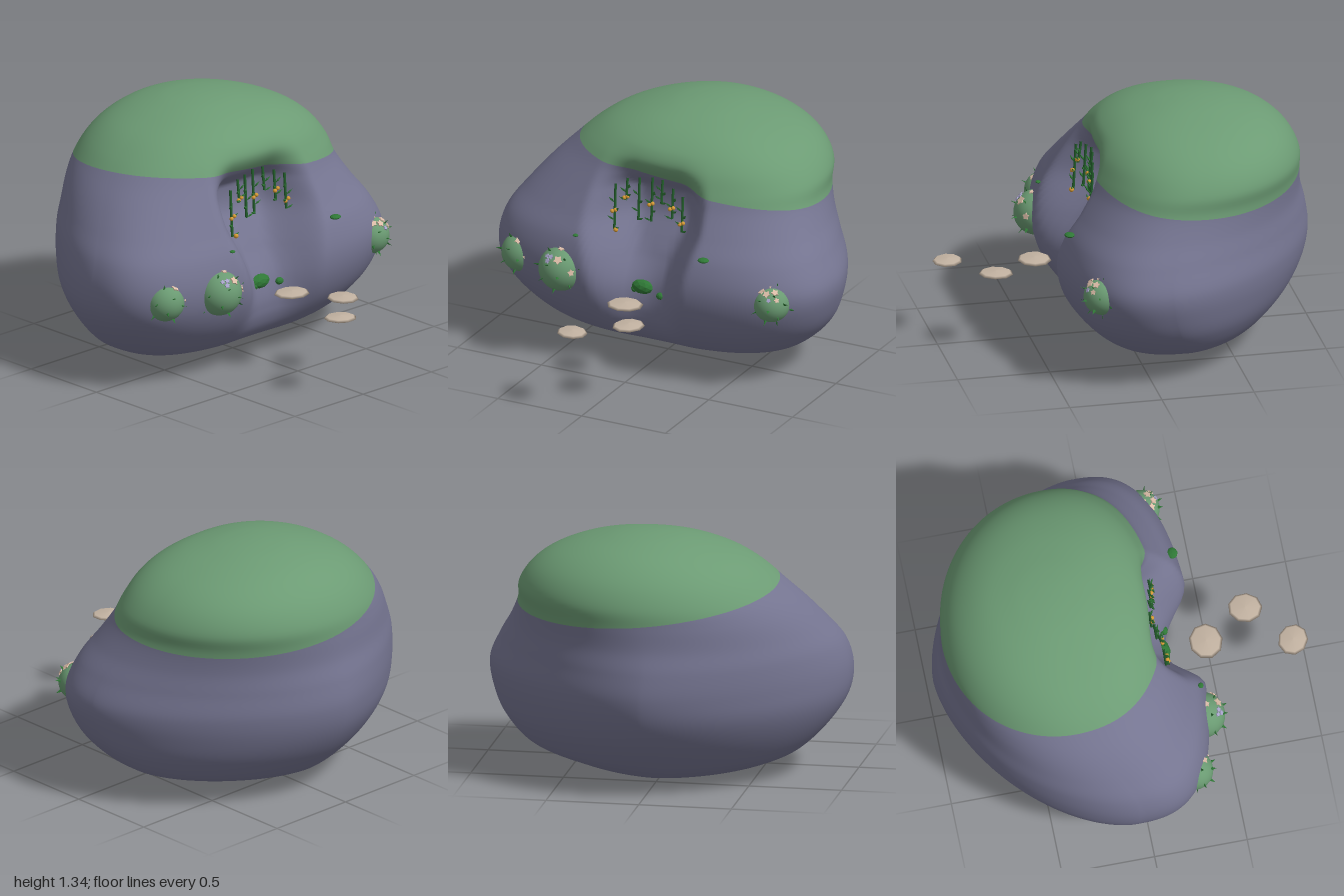
import * as THREE from 'three';

const { lerp, smoothstep } = THREE.MathUtils;
const mat = (name, color, extra = {}) =>
  Object.assign(new THREE.MeshStandardMaterial({ color, ...extra }), { name });

// Hill cross-sections from bottom to top: y, left x, right x, front z, back z, z of widest point
const ROWS = [
  [0.005, 0, 0, -0.3, -0.3, -0.3],
  [0.015, -0.14, 0.14, -0.17, -0.42, -0.3],
  [0.04, -0.37, 0.35, -0.07, -0.56, -0.28],
  [0.08, -0.56, 0.53, 0.07, -0.67, -0.24],
  [0.15, -0.72, 0.74, 0.22, -0.77, -0.2],
  [0.28, -0.86, 0.88, 0.34, -0.89, -0.14],
  [0.42, -0.95, 0.95, 0.405, -0.97, -0.09],
  [0.56, -0.97, 0.97, 0.42, -1.0, -0.07],
  [0.70, -0.935, 0.91, 0.39, -0.985, -0.08],
  [0.82, -0.855, 0.84, 0.33, -0.955, -0.14],
  [0.94, -0.76, 0.788, 0.27, -0.945, -0.21],
  [1.04, -0.665, 0.772, 0.225, -0.935, -0.27],
  [1.14, -0.56, 0.705, 0.175, -0.885, -0.31],
  [1.22, -0.44, 0.6, 0.1, -0.805, -0.33],
  [1.28, -0.29, 0.455, -0.005, -0.7, -0.34],
  [1.32, -0.14, 0.29, -0.145, -0.56, -0.35],
  [1.336, -0.02, 0.17, -0.26, -0.44, -0.35],
  [1.34, 0.07, 0.07, -0.35, -0.35, -0.35],
];
// Cave: y, depth, half width
const CAVE = [
  [0.06, 0, 0.27], [0.2, 0.04, 0.28], [0.3, 0.09, 0.29], [0.45, 0.17, 0.29], [0.6, 0.25, 0.31],
  [0.8, 0.29, 0.36], [0.95, 0.23, 0.36], [1.04, 0.11, 0.35], [1.12, 0.03, 0.33], [1.2, 0, 0.32],
];

// Smooth curve through column c of a table, t in row units
function spline(table, c, t) {
  const n = table.length - 1, i = Math.min(n - 1, Math.max(0, Math.floor(t))), f = t - i;
  const p = k => table[Math.min(n, Math.max(0, i + k))][c];
  const m0 = (p(1) - p(-1)) / 2, m1 = (p(2) - p(0)) / 2, d = p(1) - p(0);
  return p(0) + f * (m0 + f * (3 * d - 2 * m0 - m1 + f * (m0 + m1 - 2 * d)));
}

// Point of the hill at row t and angle a (0 = left side, PI/2 = front)
function hillPoint(t, a) {
  const [y, xl, xr, zf, zb, zw] = [0, 1, 2, 3, 4, 5].map(c => spline(ROWS, c, t));
  const c = Math.cos(a), s = Math.sin(a), rise = smoothstep(y, 0.5, 1.1);
  const e = 2 / (s > 0 ? lerp(2.85, 2.3, rise) : lerp(1.66, 2, rise));
  const x = (xl + xr) / 2 + (xr - xl) / 2 * Math.sign(c) * Math.abs(c) ** e;
  let z = zw + (s > 0 ? zf - zw : zw - zb) * Math.sign(s) * Math.abs(s) ** e;
  if (s > 0 && y > CAVE[0][0] && y < 1.2) {
    const k = CAVE.findIndex(r => r[0] > y) - 1;
    const u = k + (y - CAVE[k][0]) / (CAVE[k + 1][0] - CAVE[k][0]);
    const flat = lerp(0.15, 0.35, smoothstep(y, 0.45, 0.85));
    const fall = 1 - smoothstep(Math.abs(x) / spline(CAVE, 2, u), flat, 1);
    z -= Math.max(0, spline(CAVE, 1, u)) * fall;
  }
  return new THREE.Vector3(x, y, z);
}

// Hill as one skin; the grass begins at a slightly tilted line
function hillGeometry() {
  const around = 240, low = 80, high = 40, last = ROWS.length - 1, pos = [], index = [];
  const edge = [];
  for (let i = 0; i < around; i++) {
    let lo = 7, hi = 15;
    for (let k = 0; k < 25; k++) {
      const m = (lo + hi) / 2, p = hillPoint(m, i / around * Math.PI * 2);
      if (p.y < 1.035 - 0.11 * p.x + 0.08 * p.z) lo = m; else hi = m;
    }
    edge.push(lo);
  }
  for (let j = 0; j <= low + high; j++)
    for (let i = 0; i < around; i++) {
      const t = j <= low ? edge[i] * j / low : edge[i] + (last - edge[i]) * (j - low) / high;
      pos.push(...hillPoint(t, i / around * Math.PI * 2).toArray());
    }
  for (let j = 0; j < low + high; j++)
    for (let i = 0; i < around; i++) {
      const a = j * around + i, b = j * around + (i + 1) % around;
      index.push(a, a + around, b, b, a + around, b + around);
    }
  const g = new THREE.BufferGeometry();
  g.setAttribute('position', new THREE.Float32BufferAttribute(pos, 3));
  g.setIndex(index);
  g.addGroup(0, low * around * 6, 0);
  g.addGroup(low * around * 6, high * around * 6, 1);
  g.computeVertexNormals();
  return g;
}

// Thin five-pointed blossom lying flat, facing up
function blossomGeometry() {
  const star = new THREE.Shape(Array.from({ length: 10 }, (_, i) => {
    const r = i % 2 ? 0.6 : 1, a = i * Math.PI / 5;
    return new THREE.Vector2(r * Math.cos(a), r * Math.sin(a));
  }));
  return new THREE.ExtrudeGeometry(star, { depth: 0.006, bevelEnabled: false }).rotateX(-Math.PI / 2);
}

export function createModel() {
  const root = new THREE.Group();
  const rock = mat('slate rock', 0x757591), grass = mat('grass', 0x6c9b74);
  const bushMat = mat('bush green', 0x6a9a72), leafMat = mat('leaf green', 0x2f7836, { flatShading: true });
  const vineMat = mat('vine green', 0x23602c), berryMat = mat('berry orange', 0xd59a35);
  const stoneMat = mat('stone', 0xc2b2a1);
  const pinkMat = mat('pale pink', 0xdcbda8), lilacMat = mat('lilac', 0xaaa4cc);
  const UP = new THREE.Vector3(0, 1, 0);

  const add = (name, geo, material, x, y, z, parent = root) => {
    const m = new THREE.Mesh(geo, material);
    m.name = name;
    m.position.set(x, y, z);
    parent.add(m);
    return m;
  };

  add('hill', hillGeometry(), [rock, grass], 0, 0, 0);

  // Floating stepping stones
  const stoneGeo = new THREE.LatheGeometry(
    [[0, -0.014], [0.7, -0.011], [1, -0.001], [0.85, 0.009], [0, 0.015]].map(p => new THREE.Vector2(...p)), 9);
  [[-0.015, 0.47, 0.1], [0.13, 0.71, 0.092], [-0.095, 0.925, 0.088]].forEach(([x, z, r], i) => {
    const s = add('steppingStone', stoneGeo, stoneMat, x, 0.44, z);
    s.scale.set(r, 1, r * 0.9);
    s.rotation.y = i * 1.3;
  });

  // Round bushes: centre, radius, then blossoms as direction, size, material
  const ball = new THREE.SphereGeometry(1, 32, 20);
  const tip = new THREE.ConeGeometry(0.013, 0.042, 4).scale(1, 1, 0.4);
  const blossom = blossomGeometry();
  const bushes = [
    [-0.745, 0.52, 0.26, 0.105, [
      [0.7, 0.1, 0.7, 0.026, pinkMat], [0.15, 0.8, 0.55, 0.022, pinkMat],
      [0.75, 0.45, 0.45, 0.016, lilacMat], [0.6, 0.6, 0.5, 0.014, lilacMat], [0.85, -0.1, 0.5, 0.016, pinkMat]]],
    [-0.45, 0.525, 0.365, 0.122, [
      [0.2, 0.65, 0.7, 0.026, pinkMat], [-0.25, 0.55, 0.75, 0.016, lilacMat], [-0.15, 0.7, 0.65, 0.016, lilacMat],
      [-0.35, 0.7, 0.6, 0.014, lilacMat], [0.75, 0.15, 0.6, 0.02, pinkMat], [0.1, 0.95, 0.2, 0.018, pinkMat]]],
    [0.755, 0.525, 0.27, 0.1, [
      [-0.3, 0.8, 0.5, 0.022, pinkMat], [0.05, 0.75, 0.65, 0.022, pinkMat], [0.4, 0.8, 0.4, 0.022, pinkMat],
      [0, 0.95, 0.1, 0.02, pinkMat], [0.25, 0.5, 0.8, 0.014, lilacMat], [0.6, 0.5, 0.6, 0.016, pinkMat]]],
  ];
  for (const [x, y, z, r, flowers] of bushes) {
    const bush = new THREE.Group();
    bush.name = 'bush';
    bush.position.set(x, y, z);
    root.add(bush);
    add('bushBody', ball, bushMat, 0, 0, 0, bush).scale.setScalar(r);
    const stick = (name, geo, material, dir, out) => {
      const p = dir.clone().multiplyScalar(r + out);
      const m = add(name, geo, material, p.x, p.y, p.z, bush);
      m.quaternion.setFromUnitVectors(UP, dir);
      return m;
    };
    for (let i = 0; i < 22; i++) {
      const h = 1 - 2 * (i + 0.5) / 22, a = i * 2.4, q = Math.sqrt(1 - h * h);
      stick('leafTip', tip, leafMat, new THREE.Vector3(q * Math.cos(a), h, q * Math.sin(a)), 0.008);
    }
    for (const [dx, dy, dz, size, material] of flowers)
      stick('flower', blossom, material, new THREE.Vector3(dx, dy, dz).normalize(), 0.001)
        .scale.set(size, 1, size);
  }

  // Vines hanging from the lip of the cave: x, top, bottom, berry height (0 = none)
  const leafGeo = new THREE.OctahedronGeometry(1);
  const vines = [[-0.21, 1.0, 0.74, 0.85], [-0.145, 1.04, 0.92, 0.935], [-0.08, 1.05, 0.81, 0],
    [-0.01, 1.06, 0.81, 0.91], [0.055, 1.06, 0.93, 0], [0.125, 1.03, 0.86, 0.92], [0.19, 1.0, 0.8, 0.85]];
  vines.forEach(([x, top, bottom, berryY], i) => {
    const z = 0.16 + 0.2 * Math.abs(x);
    const path = new THREE.LineCurve3(new THREE.Vector3(x, top, z), new THREE.Vector3(x, bottom, z + 0.015));
    add('vine', new THREE.TubeGeometry(path, 1, 0.0075, 6), vineMat, 0, 0, 0);
    for (let k = 0; k < 4; k++) {
      const p = path.getPoint(0.35 + k * 0.2), side = (k + i) % 2 ? 1 : -1;
      const leaf = add('vineLeaf', leafGeo, leafMat, p.x + side * 0.016, p.y, p.z + 0.012);
      leaf.scale.set(0.01, 0.024, 0.006);
      leaf.rotation.set(0.5, 0, -side * (0.5 + 0.2 * k));
    }
    if (berryY)
      for (const s of [-1, 1])
        add('berry', ball, berryMat, x + s * 0.01, berryY + s * 0.005, z + 0.02).scale.setScalar(0.011);
  });
  add('berry', ball, berryMat, -0.195, 0.745, 0.23).scale.setScalar(0.013);

  // Moss clumps on the cave floor and rock face: position, size
  const clump = new THREE.IcosahedronGeometry(1, 1);
  [[-0.03, 0.45, 0.235, 0.068, 0.04, 0.04], [-0.075, 0.435, 0.235, 0.035, 0.025, 0.03],
    [0.09, 0.43, 0.265, 0.025, 0.02, 0.02], [0.4, 0.74, 0.37, 0.032, 0.012, 0.028],
    [-0.36, 0.735, 0.375, 0.016, 0.007, 0.015]].forEach(([x, y, z, a, b, c]) =>
    add('mossClump', clump, leafMat, x, y, z).scale.set(a, b, c));

  return root;
}
